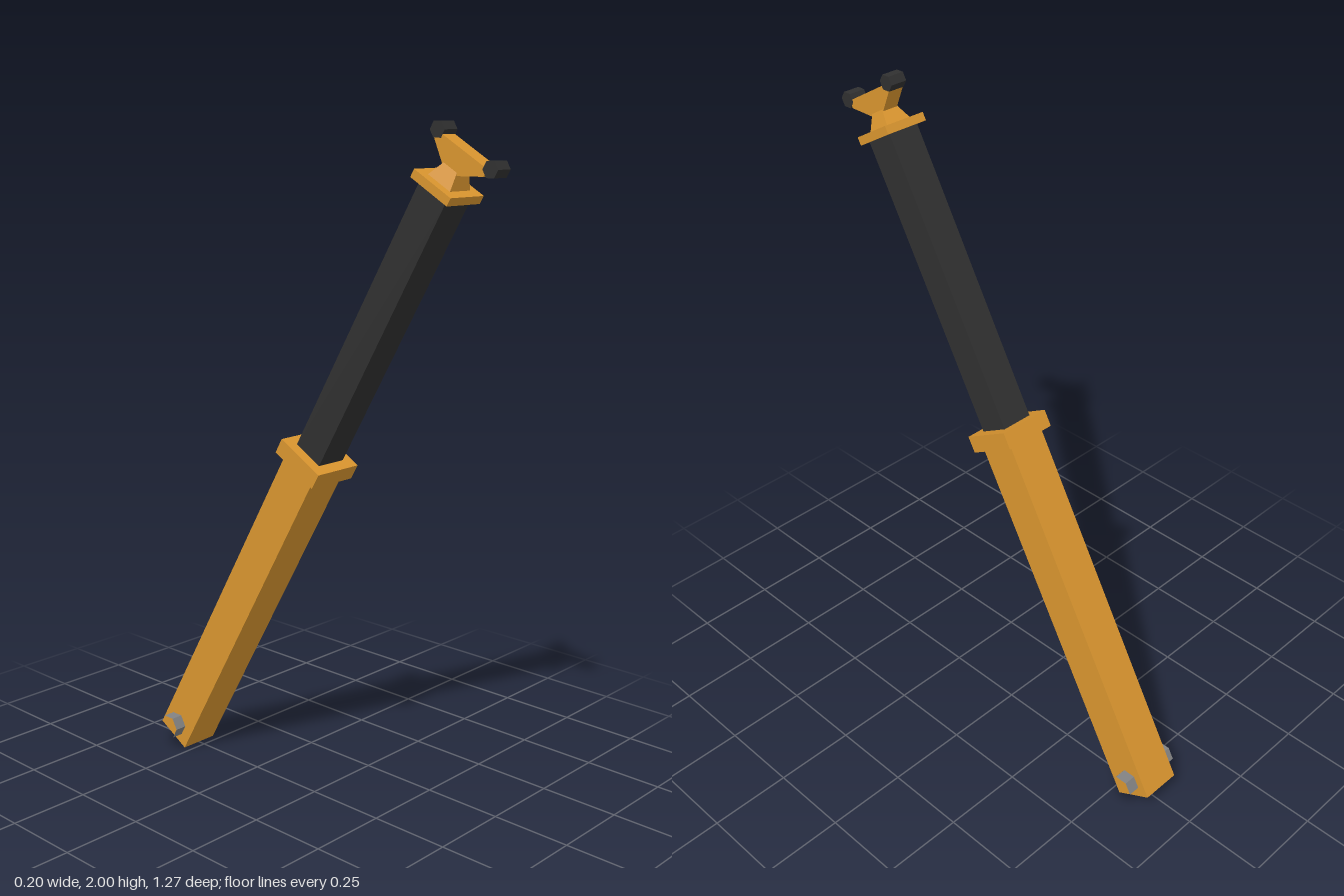
import * as THREE from 'three';

const mat = (name, color) => {
  const m = new THREE.MeshStandardMaterial({ color, flatShading: true });
  m.name = name;
  return m;
};

export function createModel() {
  const orange = mat('orange paint', 0xd9952f);
  const black = mat('dark rubber', 0x303030);
  const grey = mat('grey steel', 0x828282);
  const TILT = Math.PI / 6;

  // The arm is built upright along y, then leaned forward
  const arm = new THREE.Group();
  arm.name = 'telescopicArm';
  arm.position.set(0, 0.032, -0.58);
  arm.rotation.x = TILT;

  const add = (name, geometry, material, y = 0, z = 0) => {
    const mesh = new THREE.Mesh(geometry, material);
    mesh.name = name;
    mesh.position.set(0, y, z);
    arm.add(mesh);
    return mesh;
  };
  // Square section from height y0 to y1
  const bar = (name, material, width, y0, y1) =>
    add(name, new THREE.BoxGeometry(width, y1 - y0, width), material, (y0 + y1) / 2);
  // Six-sided rod along x, with flats level after the lean
  const hexRod = (name, material, r, length, y, z, open) =>
    add(name, new THREE.CylinderGeometry(r, r, length, 6, 1, open)
      .rotateZ(Math.PI / 2).rotateX(-TILT), material, y, z);

  bar('outerTube', orange, 0.125, 0, 1.16);
  bar('collar', orange, 0.166, 1.153, 1.203);
  bar('innerTube', black, 0.1, 1.19, 2.08);
  bar('topPlate', orange, 0.137, 2.075, 2.099);

  // Pivot pin through the foot of the arm
  hexRod('pivotPin', grey, 0.038, 0.2, 0.05, -0.004, true);

  // Tapered pedestal under the fork
  add('forkPedestal', new THREE.CylinderGeometry(0.025 * Math.SQRT2, 0.042 * Math.SQRT2, 0.046, 4)
    .rotateY(Math.PI / 4), orange, 2.12);

  // Fork: side profile extruded across x
  const fork = new THREE.Shape([
    [-0.023, 2.135], [0.027, 2.135], [0.1, 2.178], [0.1, 2.2], [-0.08, 2.2], [-0.084, 2.18],
  ].map(([z, y]) => new THREE.Vector2(-z, y)));
  add('fork', new THREE.ExtrudeGeometry(fork, { depth: 0.05, bevelEnabled: false })
    .translate(0, 0, -0.025).rotateY(Math.PI / 2), orange);

  // Rubber rollers on the fork tips
  hexRod('frontRoller', black, 0.024, 0.052, 2.204, 0.109, false);
  hexRod('backRoller', black, 0.024, 0.052, 2.202, -0.084, false);

  const model = new THREE.Group();
  model.name = 'supportStrut';
  model.add(arm);
  return model;
}
